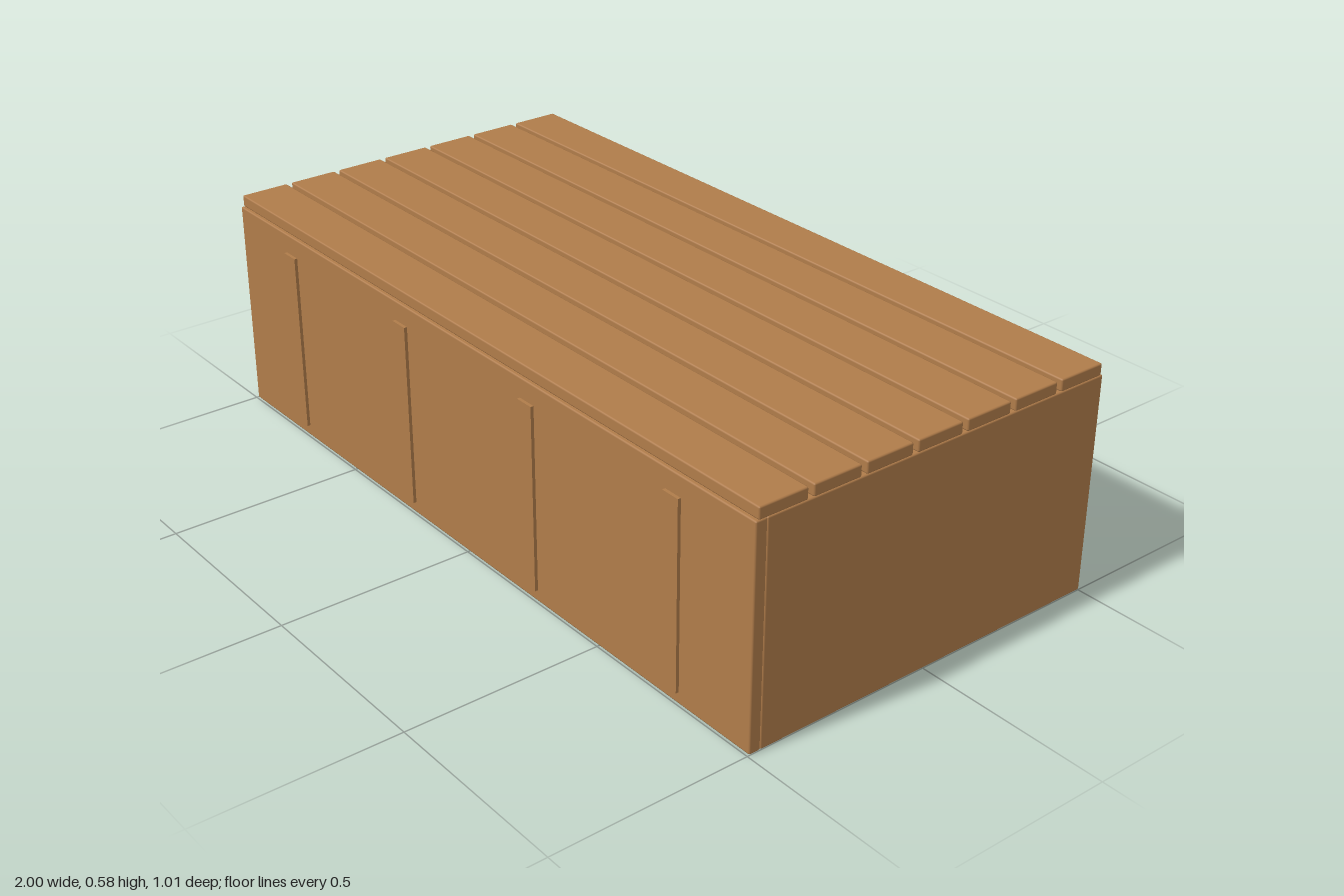
import * as THREE from 'three';
import { RoundedBoxGeometry } from 'three/addons/geometries/RoundedBoxGeometry.js';

export function createModel() {
  const model = new THREE.Group();
  model.name = 'slattedBench';

  const wood = new THREE.MeshStandardMaterial({ color: 0xb07c4a });
  wood.name = 'warm wood';
  const darkWood = new THREE.MeshStandardMaterial({ color: 0x5f422b });
  darkWood.name = 'dark wood';

  // A board given by its extents, with slightly eased edges unless radius is 0
  function board(name, [x0, x1], [y0, y1], [z0, z1], material = wood, radius = 0.004) {
    const size = [x1 - x0, y1 - y0, z1 - z0];
    const geometry = radius > 0
      ? new RoundedBoxGeometry(...size, 1, radius)
      : new THREE.BoxGeometry(...size);
    const mesh = new THREE.Mesh(geometry, material);
    mesh.name = name;
    mesh.position.set((x0 + x1) / 2, (y0 + y1) / 2, (z0 + z1) / 2);
    model.add(mesh);
  }

  const height = 0.55;
  const thick = 0.03;

  // Front panel and the two end panels; the back stays open
  board('frontPanel', [-1, 1], [0, height], [0.465, 0.495]);
  board('leftPanel', [1 - thick, 1], [0, height], [-0.503, 0.465]);
  board('rightPanel', [-1, -1 + thick], [0, height], [-0.503, 0.465]);

  // Thin deck closing the gaps under the slats
  board('deck', [-1 + thick, 1 - thick], [height - 0.01, height - 0.001], [-0.495, 0.465], darkWood, 0);

  // Seven seat slats running the full length
  const slatWidth = 0.128;
  const pitch = 0.1428;
  for (let i = 0; i < 7; i++) {
    const z = -0.497 + i * pitch;
    board(`seatSlat${i + 1}`, [-1, 1], [height, height + thick], [z, z + slatWidth]);
  }

  // Four upright battens on the front panel
  for (let i = 0; i < 4; i++) {
    const x = -0.75 + i * 0.5;
    board(`frontBatten${i + 1}`, [x - 0.025, x + 0.025], [0.03, 0.5], [0.49, 0.503], wood, 0);
  }

  return model;
}
